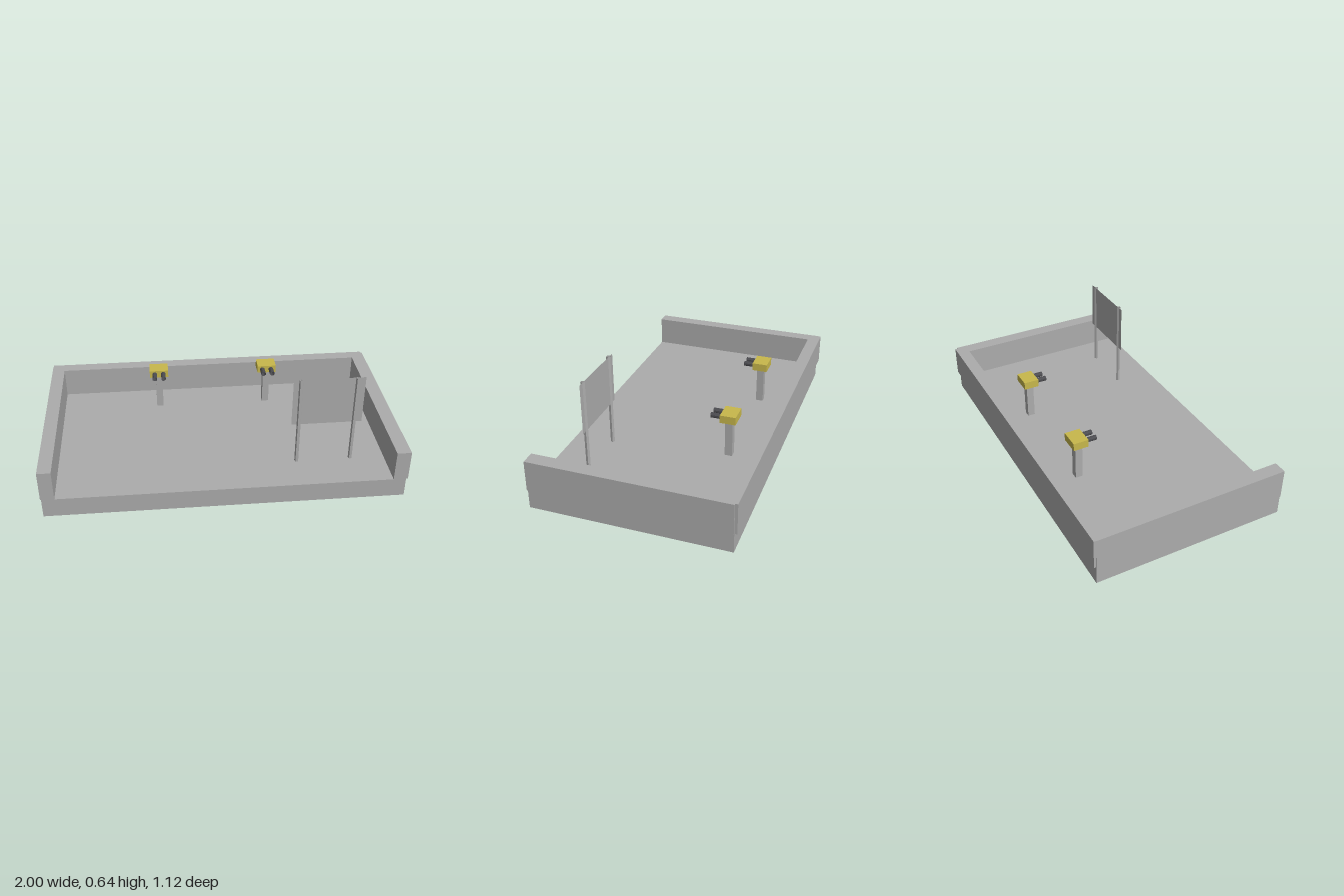
import * as THREE from 'three';

export function createModel() {
  const model = new THREE.Group();
  model.name = 'walledPlatform';

  const concrete = new THREE.MeshStandardMaterial({ name: 'concrete grey', color: 0xacacac, side: THREE.DoubleSide });
  const yellow = new THREE.MeshStandardMaterial({ name: 'turret yellow', color: 0xc8b84c });
  const gunmetal = new THREE.MeshStandardMaterial({ name: 'barrel dark grey', color: 0x4c4c50, side: THREE.DoubleSide });
  concrete.flatShading = gunmetal.flatShading = true;

  const add = (parent, name, geometry, material) => {
    const mesh = new THREE.Mesh(geometry, material);
    mesh.name = name;
    parent.add(mesh);
    return mesh;
  };

  // Box given by its limits on each axis
  const block = (parent, name, material, [x0, x1], [y0, y1], [z0, z1]) => {
    const mesh = add(parent, name, new THREE.BoxGeometry(x1 - x0, y1 - y0, z1 - z0), material);
    mesh.position.set((x0 + x1) / 2, (y0 + y1) / 2, (z0 + z1) / 2);
    return mesh;
  };

  // Floor slab and the three walls, open at the front
  const floor = 0.113, wallTop = 0.288;
  block(model, 'floorSlab', concrete, [-0.995, 0.99], [0, floor], [-0.545, 0.56]);
  block(model, 'rightWall', concrete, [-1, -0.925], [floor, wallTop], [-0.545, 0.56]);
  block(model, 'leftWall', concrete, [0.92, 1], [floor, wallTop], [-0.545, 0.56]);
  block(model, 'backWall', concrete, [-0.998, 0.99], [floor, wallTop], [-0.56, -0.488]);

  // Twin-barrelled turrets on square posts
  for (const x of [-0.334, 0.329]) {
    const turret = new THREE.Group();
    turret.name = x < 0 ? 'rightTurret' : 'leftTurret';
    turret.position.x = x;
    block(turret, 'turretPost', concrete, [-0.02, 0.02], [floor, 0.335], [-0.342, -0.3]);
    block(turret, 'turretHead', yellow, [-0.056, 0.056], [0.333, 0.378], [-0.367, -0.279]);
    for (const offset of [-0.027, 0.026]) {
      const tube = new THREE.CylinderGeometry(0.0145, 0.0145, 0.059, 8, 1, true);
      tube.rotateY(Math.PI / 8).rotateX(Math.PI / 2);
      add(turret, 'barrel', tube, gunmetal).position.set(offset, 0.356, -0.2505);
    }
    model.add(turret);
  }

  // Thin sign panel carried by two slender open posts
  const sign = new THREE.Group();
  sign.name = 'sign';
  add(sign, 'signPanel', new THREE.PlaneGeometry(0.394, 0.284), concrete).position.set(0.573, 0.501, 0.336);
  for (const x of [0.417, 0.726]) {
    const post = new THREE.CylinderGeometry(0.012, 0.012, 0.643 - floor, 5, 1, true);
    post.rotateY(Math.PI);
    add(sign, 'signPost', post, concrete).position.set(x, (0.643 + floor) / 2, 0.34);
  }
  model.add(sign);

  return model;
}
